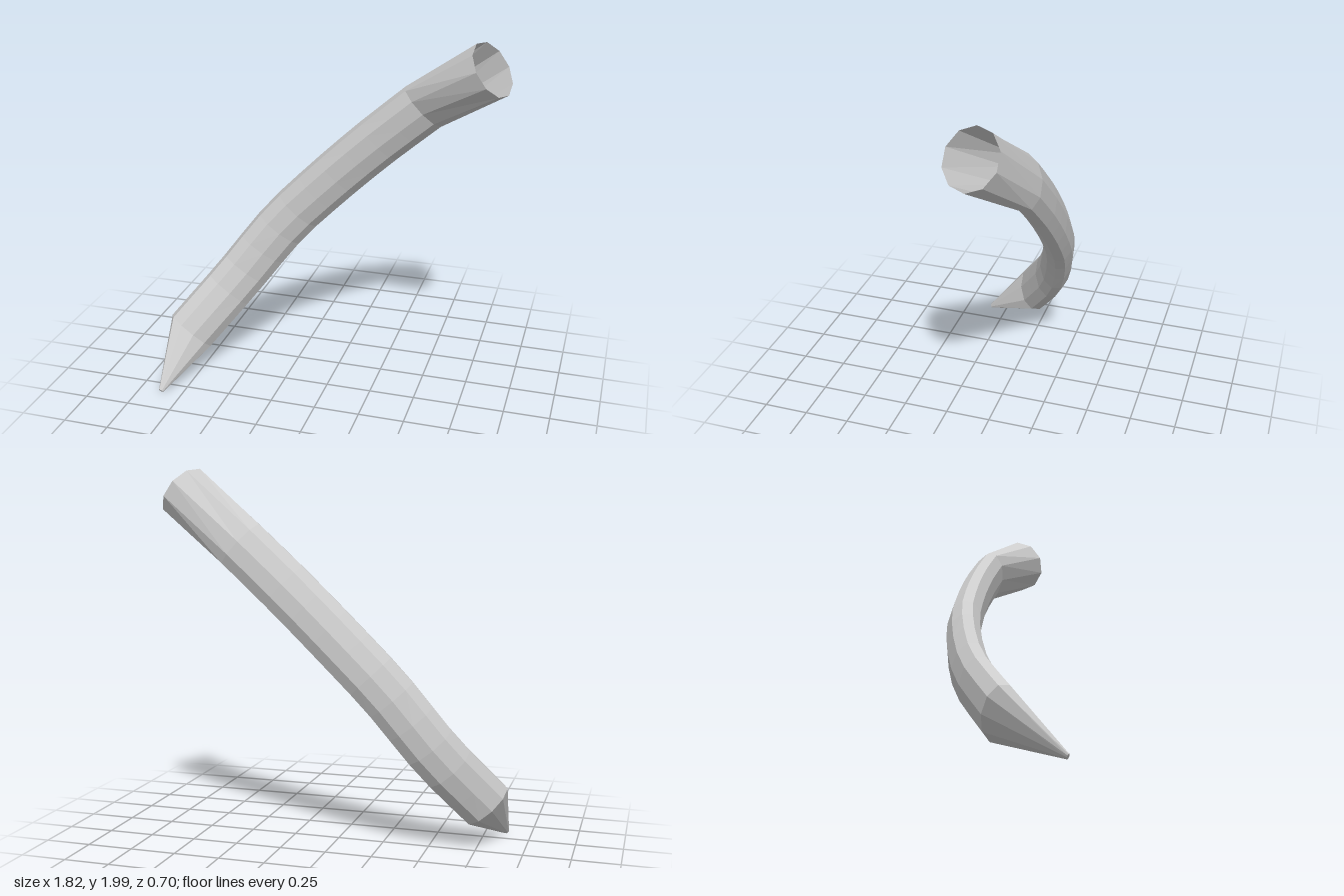
import * as THREE from 'three';

const SIDES = 10;
const V = (x, y, z) => new THREE.Vector3(x, y, z);
const WIDE = V(-0.7, 0.68, 0.26); // wide direction of the oval section

// Ring of points around a centre: semi-axis a along the wide direction, b across it
function ring(centre, tangent, a, b) {
  const t = tangent.clone().normalize();
  const w = WIDE.clone().addScaledVector(t, -WIDE.dot(t)).normalize();
  const d = t.clone().cross(w);
  return Array.from({ length: SIDES }, (_, j) => {
    const q = ((j + 0.5) / SIDES) * Math.PI * 2;
    return centre.clone().addScaledVector(w, a * Math.cos(q)).addScaledVector(d, b * Math.sin(q));
  });
}

// Skin over successive rings
function loft(name, rings, material) {
  const pos = rings.flatMap((r) => r.flatMap((p) => p.toArray()));
  const index = [];
  for (let i = 0; i < rings.length - 1; i++) {
    for (let j = 0; j < SIDES; j++) {
      const k = (j + 1) % SIDES;
      const a = i * SIDES + j, b = i * SIDES + k;
      index.push(a, b, b + SIDES, a, b + SIDES, a + SIDES);
    }
  }
  const geo = new THREE.BufferGeometry();
  geo.setAttribute('position', new THREE.Float32BufferAttribute(pos, 3));
  geo.setIndex(index);
  geo.computeVertexNormals();
  const mesh = new THREE.Mesh(geo, material);
  mesh.name = name;
  return mesh;
}

export function createModel() {
  const group = new THREE.Group();
  group.name = 'curvedSpike';
  const material = new THREE.MeshStandardMaterial({
    color: 0xcccccc, flatShading: true, side: THREE.DoubleSide,
  });

  // Curved oval shaft
  const path = new THREE.CatmullRomCurve3([
    V(-0.80, 0.25, 0.04), V(-0.57, 0.54, -0.135), V(-0.32, 0.87, -0.23),
    V(-0.10, 1.10, -0.255), V(0.18, 1.37, -0.26), V(0.45, 1.61, -0.25),
  ]);
  const rings = [];
  const steps = 12;
  for (let i = 0; i <= steps; i++) {
    const u = i / steps;
    rings.push(ring(path.getPointAt(u), path.getTangentAt(u), 0.146, 0.088));
  }
  group.add(loft('shaft', rings, material));

  // Pointed tip with a small blunt end
  const tip = V(-0.868, 0.014, 0.345);
  const axis = path.getPointAt(0).sub(tip);
  group.add(loft('tip', [ring(tip, axis, 0, 0), ring(tip, axis, 0.014, 0.01), rings[0]], material));

  // Flared round sleeve, open at its end
  const mouth = ring(V(0.818, 1.87, -0.115), V(0.78, 0.55, 0.29), 0.152, 0.152);
  group.add(loft('sleeve', [rings[steps], mouth], material));

  return group;
}
